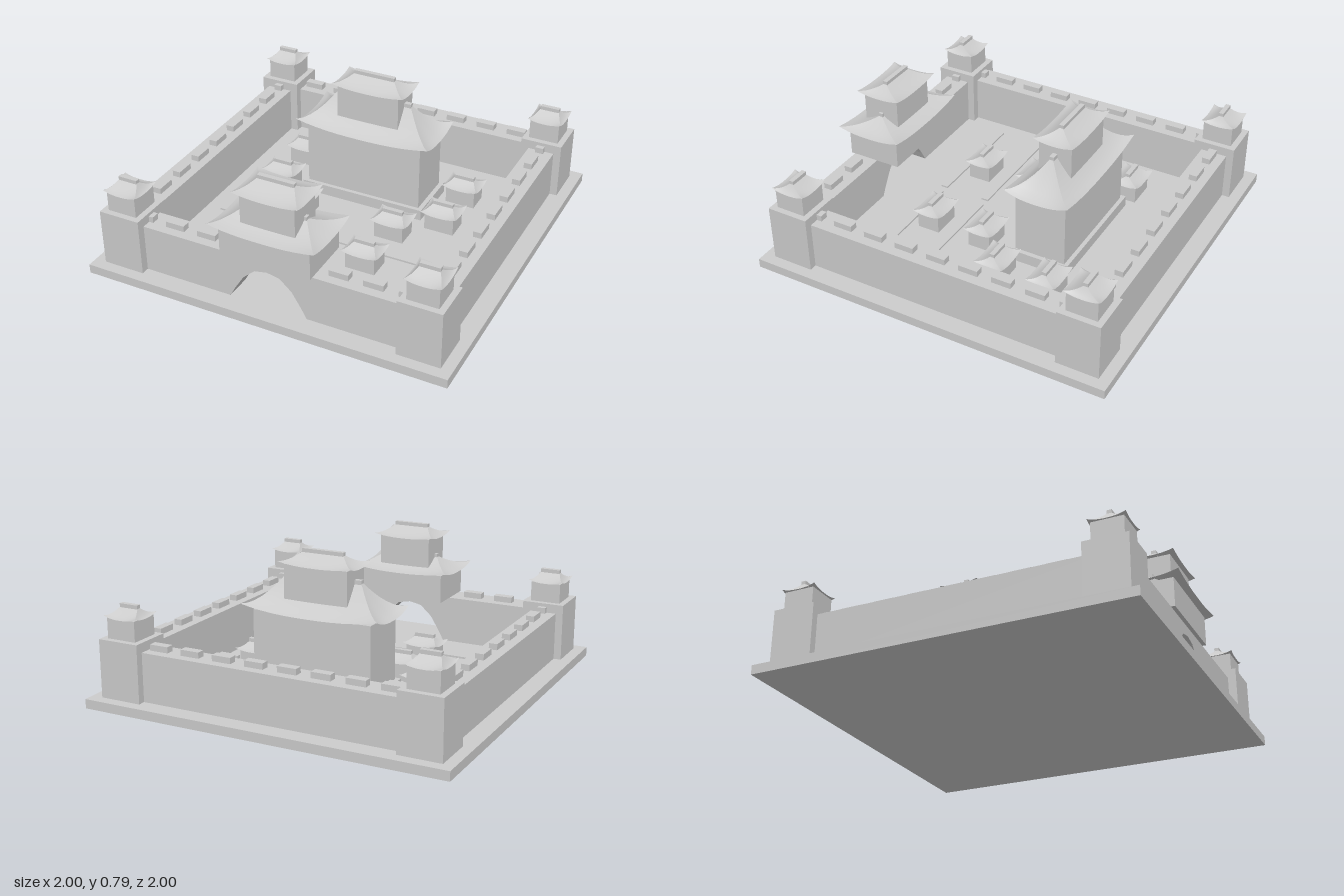
import * as THREE from 'three';
import { mergeGeometries } from 'three/addons/utils/BufferGeometryUtils.js';

const stone = new THREE.MeshStandardMaterial({ color: 0xcccccc, side: THREE.DoubleSide });
stone.name = 'pale grey stone';

const GROUND = 0.05;

// Box given by its centre in x and z, its size, and its bottom and top heights
function block(parent, name, x, z, w, d, y0, y1) {
  const mesh = new THREE.Mesh(new THREE.BoxGeometry(w, y1 - y0, d), stone);
  mesh.position.set(x, (y0 + y1) / 2, z);
  mesh.name = name;
  parent.add(mesh);
  return mesh;
}

// One slope of a hipped roof: concave rise, with the eave curling up at both ends
function roofSlope(halfEave, halfRidge, depthEave, depthRidge, rise, lift) {
  const nu = 12, nt = 6, pos = [], index = [];
  for (let j = 0; j <= nt; j++) {
    const t = j / nt;
    const half = THREE.MathUtils.lerp(halfEave, halfRidge, t);
    const z = THREE.MathUtils.lerp(depthEave, depthRidge, t);
    for (let i = 0; i <= nu; i++) {
      const u = (i / nu) * 2 - 1;
      pos.push(u * half, rise * t ** 1.5 + lift * Math.abs(u) ** 2.5 * (1 - t) ** 2, z);
      if (i < nu && j < nt) {
        const a = j * (nu + 1) + i, b = a + nu + 1;
        index.push(a, a + 1, b + 1, a, b + 1, b);
      }
    }
  }
  const geo = new THREE.BufferGeometry();
  geo.setAttribute('position', new THREE.Float32BufferAttribute(pos, 3));
  geo.setIndex(index);
  geo.computeVertexNormals();
  return geo;
}

// Four slopes and a ridge beam
function roof(parent, name, x, z, w, d, y0, y1, lift) {
  const beam = 0.018, rw = w * 0.28, rd = 0.01, rise = y1 - y0 - beam;
  const slopes = [0, 1, 2, 3].map((k) => {
    const s = k % 2
      ? roofSlope(d / 2, rd, w / 2, rw, rise, lift)
      : roofSlope(w / 2, rw, d / 2, rd, rise, lift);
    return s.rotateY((k * Math.PI) / 2);
  });
  const mesh = new THREE.Mesh(mergeGeometries(slopes), stone);
  mesh.position.set(x, y0, z);
  mesh.name = name;
  parent.add(mesh);
  block(parent, name + 'Ridge', x, z, rw * 2, 0.026, y1 - beam - 0.006, y1);
}

function group(parent, name) {
  const g = new THREE.Group();
  g.name = name;
  parent.add(g);
  return g;
}

export function createModel() {
  const model = new THREE.Group();
  model.name = 'walledPalace';
  block(model, 'base', 0, 0, 2, 2, 0, GROUND);

  // Walls, the front one pierced by the gate arch
  const walls = group(model, 'walls');
  for (const s of [-1, 1]) block(walls, 'sideWall', s * 0.827, 0, 0.145, 1.6, GROUND, 0.31);
  block(walls, 'backWall', 0, -0.827, 1.6, 0.145, GROUND, 0.31);

  const arch = [[0.215, 0.05], [0.185, 0.105], [0.135, 0.185], [0.07, 0.243], [0, 0.257]];
  const outline = new THREE.Shape();
  outline.moveTo(-0.8, 0.31);
  outline.lineTo(-0.8, GROUND);
  arch.forEach(([x, y]) => outline.lineTo(-x, y));
  arch.slice(0, -1).reverse().forEach(([x, y]) => outline.lineTo(x, y));
  outline.lineTo(0.8, GROUND);
  outline.lineTo(0.8, 0.31);
  const frontWall = new THREE.Mesh(
    new THREE.ExtrudeGeometry(outline, { depth: 0.145, bevelEnabled: false }), stone);
  frontWall.position.z = 0.75;
  frontWall.name = 'frontWall';
  walls.add(frontWall);

  // Battlements
  const step = 0.1835, top = 0.342;
  for (let k = -4; k <= 4; k++) {
    for (const s of [-1, 1])
      block(walls, 'battlement', s * 0.825, k * step, 0.045, 0.105, 0.31, top);
    if (Math.abs(k) > 1) block(walls, 'battlement', k * step - 0.004, 0.823, 0.105, 0.045, 0.31, top);
    if (k < 4) block(walls, 'battlement', (k + 0.5) * step, -0.827, 0.105, 0.045, 0.31, top);
  }

  // Corner towers
  for (const sx of [-1, 1]) for (const sz of [-1, 1]) {
    const tower = group(model, 'cornerTower');
    const x = sx * 0.825, z = sz * 0.825;
    block(tower, 'towerBase', x, z, 0.23, 0.23, GROUND, 0.36);
    block(tower, 'towerRoom', x, z, 0.165, 0.165, 0.36, 0.468);
    roof(tower, 'towerRoof', x, z, 0.19, 0.19, 0.466, 0.53, 0.016);
  }

  // Gatehouse over the arch
  const gate = group(model, 'gatehouse');
  block(gate, 'gateRoom', 0, 0.766, 0.5, 0.3, 0.31, 0.468);
  roof(gate, 'gateLowerRoof', 0, 0.768, 0.585, 0.375, 0.466, 0.558, 0.024);
  block(gate, 'gateUpperRoom', 0, 0.77, 0.3, 0.205, 0.48, 0.657);
  roof(gate, 'gateUpperRoof', 0, 0.77, 0.36, 0.26, 0.655, 0.725, 0.016);

  // Main hall
  const hall = group(model, 'mainHall');
  const hz = -0.303;
  block(hall, 'terrace', 0, hz, 0.72, 0.33, GROUND, 0.11);
  block(hall, 'hallRoom', 0, hz, 0.67, 0.285, 0.11, 0.47);
  roof(hall, 'hallLowerRoof', 0, hz, 0.78, 0.36, 0.468, 0.655, 0.034);
  block(hall, 'hallUpperRoom', 0, hz, 0.36, 0.185, 0.5, 0.715);
  roof(hall, 'hallUpperRoof', 0, hz, 0.42, 0.225, 0.713, 0.787, 0.018);

  // Small houses, mirrored in pairs
  for (const [hx, z] of [[0.49, -0.44], [0.49, -0.143], [0.28, 0.045], [0.27, 0.365]])
    for (const s of [-1, 1]) {
      const house = group(model, 'house');
      block(house, 'houseRoom', s * hx, z, 0.165, 0.125, GROUND, 0.15);
      roof(house, 'houseRoof', s * hx, z, 0.203, 0.165, 0.148, 0.205, 0.015);
    }

  // Low kerbs across the courtyard, open in the middle
  for (const z of [0.235, 0.497]) for (const s of [-1, 1])
    block(model, 'courtyardKerb', s * 0.345, z, 0.645, 0.04, GROUND, 0.06);

  return model;
}
